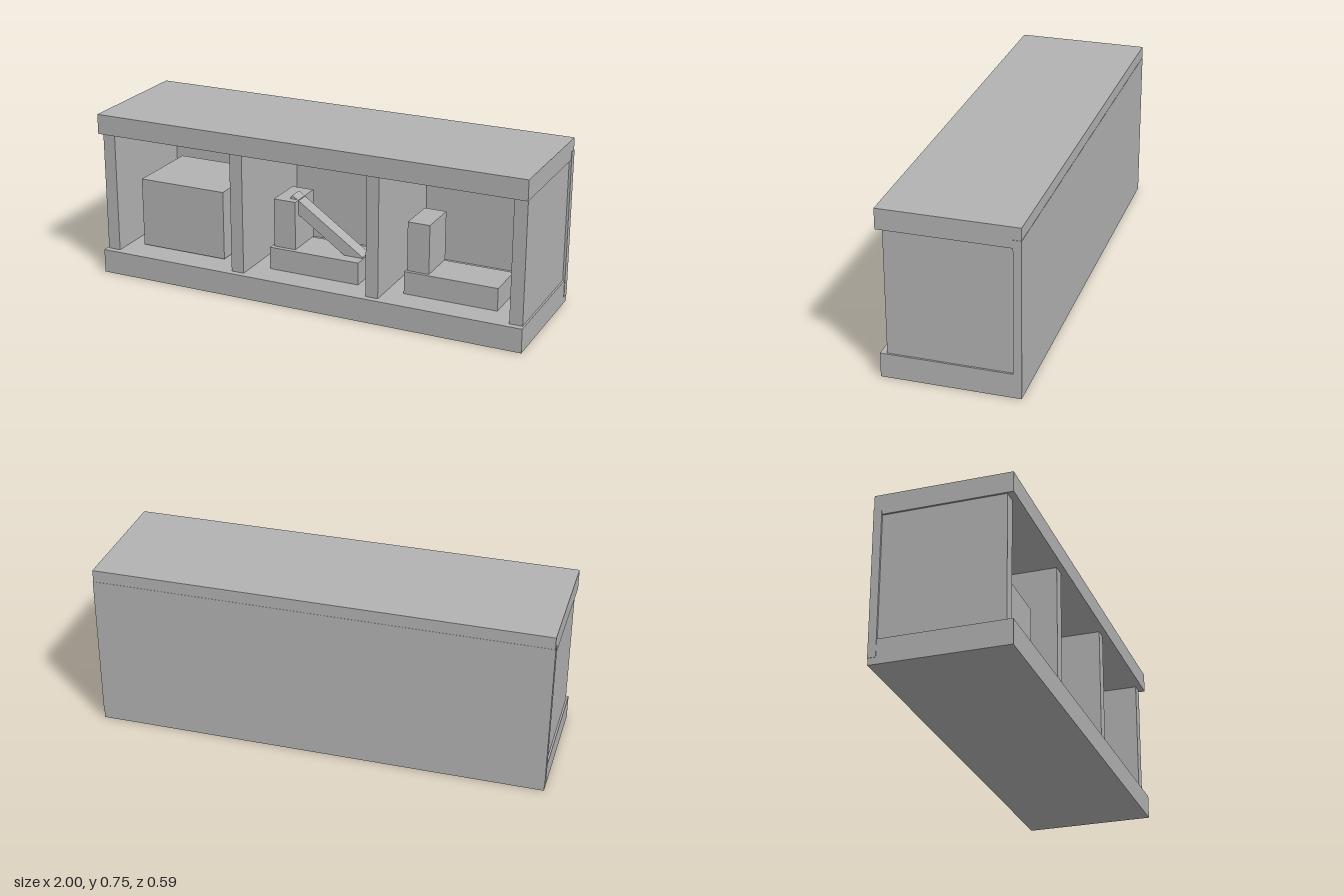
import * as THREE from 'three';

const grey = new THREE.MeshStandardMaterial({ color: 0xb2b2b2 });
grey.name = 'plain grey';

export function createModel() {
  const model = new THREE.Group();
  model.name = 'displayCabinet';

  // Box given by its limits on each axis
  const block = (name, [x0, x1], [y0, y1], [z0, z1]) => {
    const mesh = new THREE.Mesh(new THREE.BoxGeometry(x1 - x0, y1 - y0, z1 - z0), grey);
    mesh.position.set((x0 + x1) / 2, (y0 + y1) / 2, (z0 + z1) / 2);
    mesh.name = name;
    model.add(mesh);
    return mesh;
  };

  // Carcass: plinth, top slab, back board and four uprights
  block('plinth', [-0.998, 0.998], [0, 0.108], [-0.294, 0.295]);
  block('topSlab', [-0.998, 0.998], [0.66, 0.75], [-0.294, 0.295]);
  block('backBoard', [-1, 1], [0.03, 0.696], [-0.295, -0.26]);
  [[-0.99, -0.932], [-0.355, -0.296], [0.289, 0.346], [0.932, 0.99]].forEach((x, i) =>
    block(i % 3 ? 'divider' : 'sidePanel', x, [0.1, 0.67], [-0.265, 0.267]));

  // Left bay: large crate
  block('crate', [-0.855, -0.44], [0.117, 0.433], [-0.18, 0.18]);

  // Middle and right bays: low base with a short post
  block('middleBase', [-0.215, 0.21], [0.1, 0.21], [-0.02, 0.17]);
  block('middlePost', [-0.203, -0.1], [0.2, 0.431], [-0.03, 0.15]);
  block('rightBase', [0.424, 0.846], [0.1, 0.21], [-0.02, 0.17]);
  block('rightPost', [0.431, 0.531], [0.2, 0.431], [-0.03, 0.155]);

  // Sloping brace leaning from the middle post to its base
  const brace = block('brace', [-0.205, 0.205], [-0.027, 0.027], [0.05, 0.115]);
  brace.position.set(0.023, 0.309, 0.083);
  brace.rotation.z = -0.605;

  return model;
}
